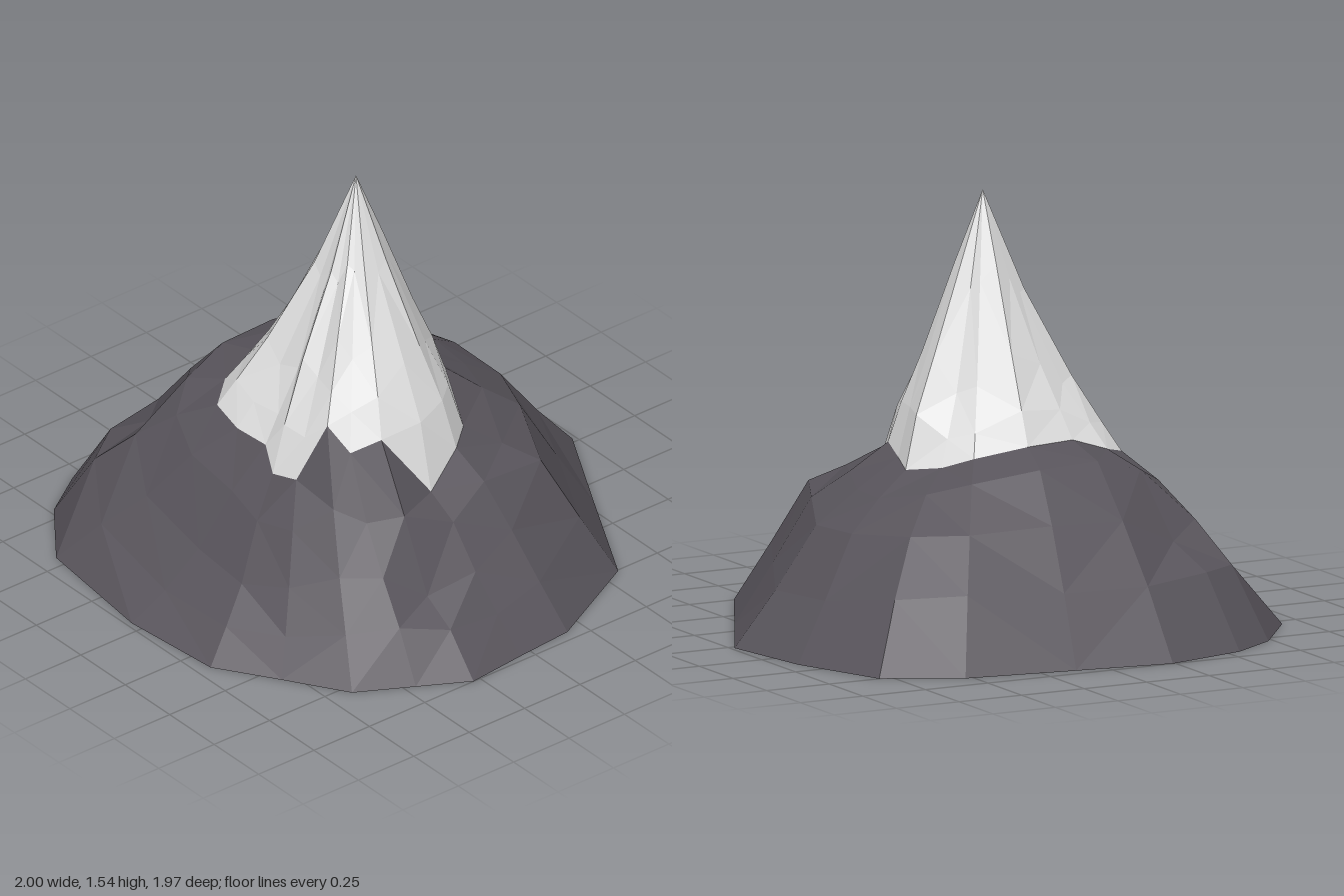
import * as THREE from 'three';

const rockMaterial = new THREE.MeshStandardMaterial({ color: 0x58545b, flatShading: true, side: THREE.DoubleSide });
rockMaterial.name = 'dark rock';
const snowMaterial = new THREE.MeshStandardMaterial({ color: 0xdfdfdf, flatShading: true, side: THREE.DoubleSide });
snowMaterial.name = 'snow';

// Columns run from the back, round by the right flank, front and left flank.
// Foot of the mountain: x, z
const foot = [
  [-0.02, -0.985], [-0.39, -0.93], [-0.75, -0.80], [-0.89, -0.53], [-0.95, -0.12],
  [-1.00, 0.24], [-0.92, 0.55], [-0.80, 0.73], [-0.55, 0.92], [-0.05, 0.98],
  [0.35, 0.945], [0.57, 0.80], [0.79, 0.66], [0.90, 0.46], [1.00, 0.28],
  [0.975, 0.05], [0.955, -0.18], [0.755, -0.57], [0.36, -0.78],
];

// Jagged line where rock meets snow: x, y, z
const snowLine = [
  [0.00, 0.62, -0.32], [-0.13, 0.60, -0.36], [-0.25, 0.62, -0.28], [-0.34, 0.66, -0.20], [-0.37, 0.69, 0.00],
  [-0.33, 0.69, 0.20], [-0.31, 0.64, 0.35], [-0.23, 0.61, 0.45], [-0.08, 0.60, 0.48], [0.08, 0.61, 0.48],
  [0.17, 0.55, 0.52], [0.29, 0.58, 0.51], [0.34, 0.79, 0.41], [0.42, 0.70, 0.37], [0.47, 0.74, 0.27],
  [0.55, 0.50, 0.11], [0.48, 0.58, -0.06], [0.37, 0.57, -0.18], [0.13, 0.65, -0.29],
];

// Share of the rock height reached at 1/4, 1/2 and 3/4 of the way inwards
const rockRise = [
  [0.31, 0.66, 0.84], [0.34, 0.70, 0.87], [0.40, 0.71, 0.90], [0.40, 0.68, 0.91], [0.36, 0.67, 0.92],
  [0.36, 0.66, 0.93], [0.41, 0.55, 0.92], [0.42, 0.66, 0.86], [0.26, 0.48, 0.79], [0.17, 0.40, 0.74],
  [0.19, 0.40, 0.76], [0.20, 0.44, 0.74], [0.20, 0.40, 0.66], [0.25, 0.45, 0.68], [0.20, 0.30, 0.66],
  [0.26, 0.52, 0.84], [0.28, 0.57, 0.84], [0.38, 0.78, 0.89], [0.34, 0.70, 0.84],
];

// Share of the snow height reached at three steps towards the peak
const snowRise = [
  [0.19, 0.40, 0.72], [0.20, 0.40, 0.72], [0.10, 0.26, 0.64], [0.09, 0.26, 0.65], [0.14, 0.36, 0.71],
  [0.12, 0.30, 0.64], [0.10, 0.25, 0.60], [0.11, 0.29, 0.62], [0.10, 0.24, 0.59], [0.11, 0.27, 0.62],
  [0.17, 0.39, 0.67], [0.14, 0.33, 0.63], [0.13, 0.34, 0.62], [0.15, 0.33, 0.64], [0.17, 0.35, 0.67],
  [0.24, 0.42, 0.69], [0.18, 0.37, 0.69], [0.17, 0.34, 0.67], [0.16, 0.36, 0.71],
];

const peak = [0.04, 1.54, 0.04];
const count = foot.length;

// Moves from a to b, with the height following its own share
const climb = (a, b, t, rise) => [
  a[0] + (b[0] - a[0]) * t,
  a[1] + (b[1] - a[1]) * rise,
  a[2] + (b[2] - a[2]) * t,
];

const gap = (p, q) => Math.hypot(p[0] - q[0], p[1] - q[1], p[2] - q[2]);

// Joins closed rings of points, listed from low to high, into a shell
function shell(name, rings, material, tip) {
  const points = rings.flat();
  const index = [];
  const last = rings.length - 1;
  for (let r = 0; r < last; r++) {
    for (let i = 0; i < count; i++) {
      const j = (i + 1) % count;
      const a = r * count + i, b = r * count + j;
      const c = b + count, d = a + count;
      // Split each quad along its shorter diagonal
      if (gap(points[a], points[c]) < gap(points[b], points[d])) index.push(a, b, c, a, c, d);
      else index.push(a, b, d, b, c, d);
    }
  }
  if (tip) {
    points.push(tip);
    for (let i = 0; i < count; i++) {
      index.push(last * count + i, last * count + (i + 1) % count, points.length - 1);
    }
  }
  const geometry = new THREE.BufferGeometry();
  geometry.setAttribute('position', new THREE.Float32BufferAttribute(points.flat(), 3));
  geometry.setIndex(index);
  const flat = geometry.toNonIndexed();
  flat.computeVertexNormals();
  const mesh = new THREE.Mesh(flat, material);
  mesh.name = name;
  return mesh;
}

export function createModel() {
  const model = new THREE.Group();
  model.name = 'mountain';

  // Broad rocky base, open underneath
  const base = foot.map(([x, z]) => [x, 0, z]);
  const slopes = [0.25, 0.5, 0.75].map((t, k) =>
    base.map((p, i) => climb(p, snowLine[i], t, rockRise[i][k])));
  model.add(shell('rockBase', [base, ...slopes, snowLine], rockMaterial));

  // Steep snow cap
  const cap = [0.14, 0.36, 0.7].map((t, k) =>
    snowLine.map((p, i) => climb(p, peak, t, snowRise[i][k])));
  model.add(shell('snowCap', [snowLine, ...cap], snowMaterial, peak));

  return model;
}
